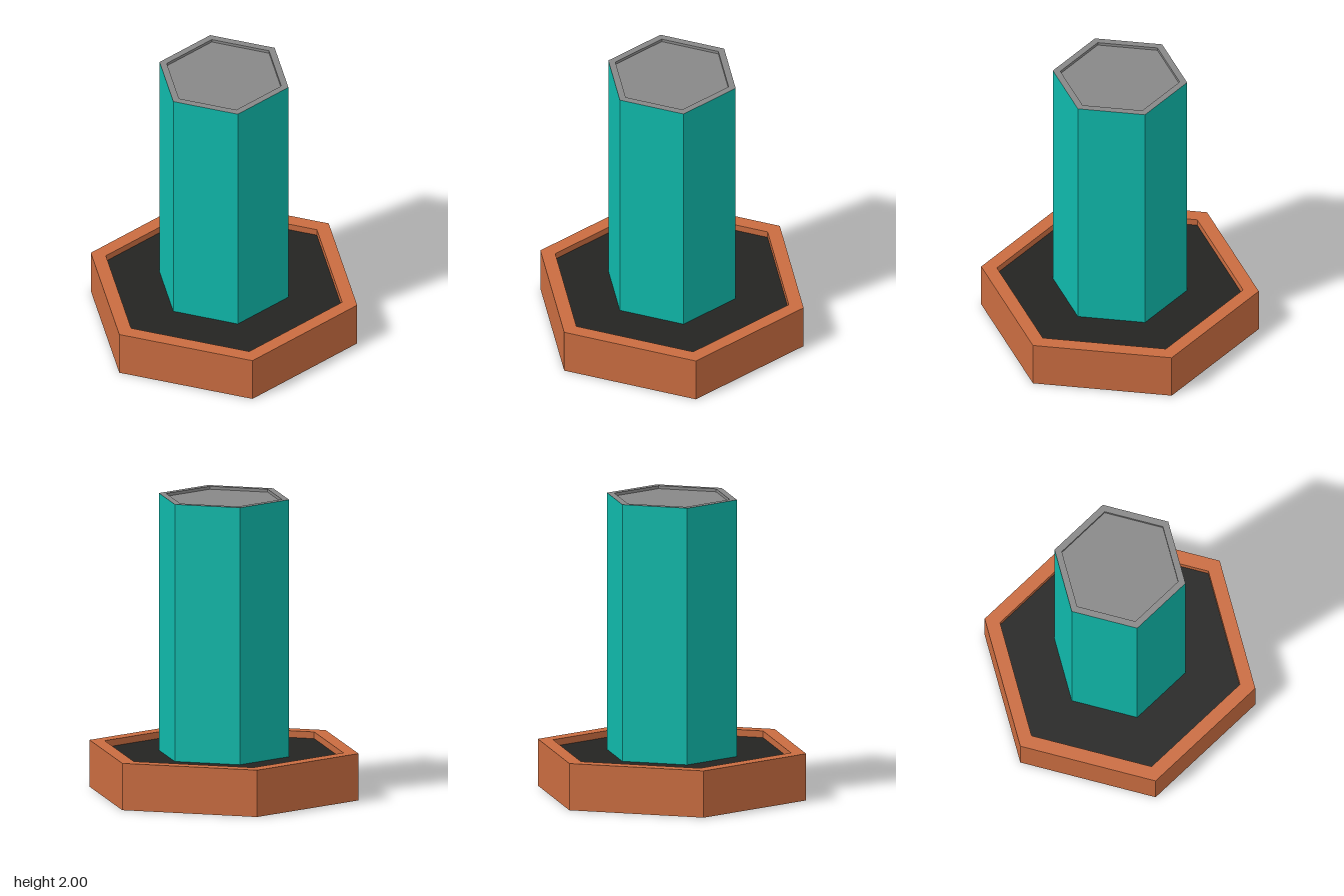
import * as THREE from 'three';

const SIDES = 6;
const SOIL_Y = 0.27;

// Hexagonal solid of revolution; profile points are [radius, y], outside drawn upward
function hexPart(name, profile, color) {
  const points = profile.map(([r, y]) => new THREE.Vector2(r, y));
  const material = new THREE.MeshStandardMaterial({ color, flatShading: true });
  const mesh = new THREE.Mesh(new THREE.LatheGeometry(points, SIDES), material);
  mesh.name = name;
  return mesh;
}

export function createModel() {
  const model = new THREE.Group();
  model.name = 'hexagonalColumnInTray';

  // Tray: underside, outer wall, rim and inner wall
  model.add(hexPart('tray', [[0, 0], [0.93, 0], [0.93, 0.315], [0.825, 0.315], [0.825, SOIL_Y]], 0xc96c40));

  // Dark fill inside the tray, around the column
  model.add(hexPart('trayFill', [[0.825, SOIL_Y], [0.45, SOIL_Y]], 0x242422));

  // Column walls
  model.add(hexPart('column', [[0.45, SOIL_Y], [0.45, 2]], 0x0fb9ab));

  // Grey cap: rim with a shallow recess
  model.add(hexPart('columnCap', [[0.45, 2], [0.4, 2], [0.4, 1.98], [0, 1.98]], 0x888888));

  return model;
}
